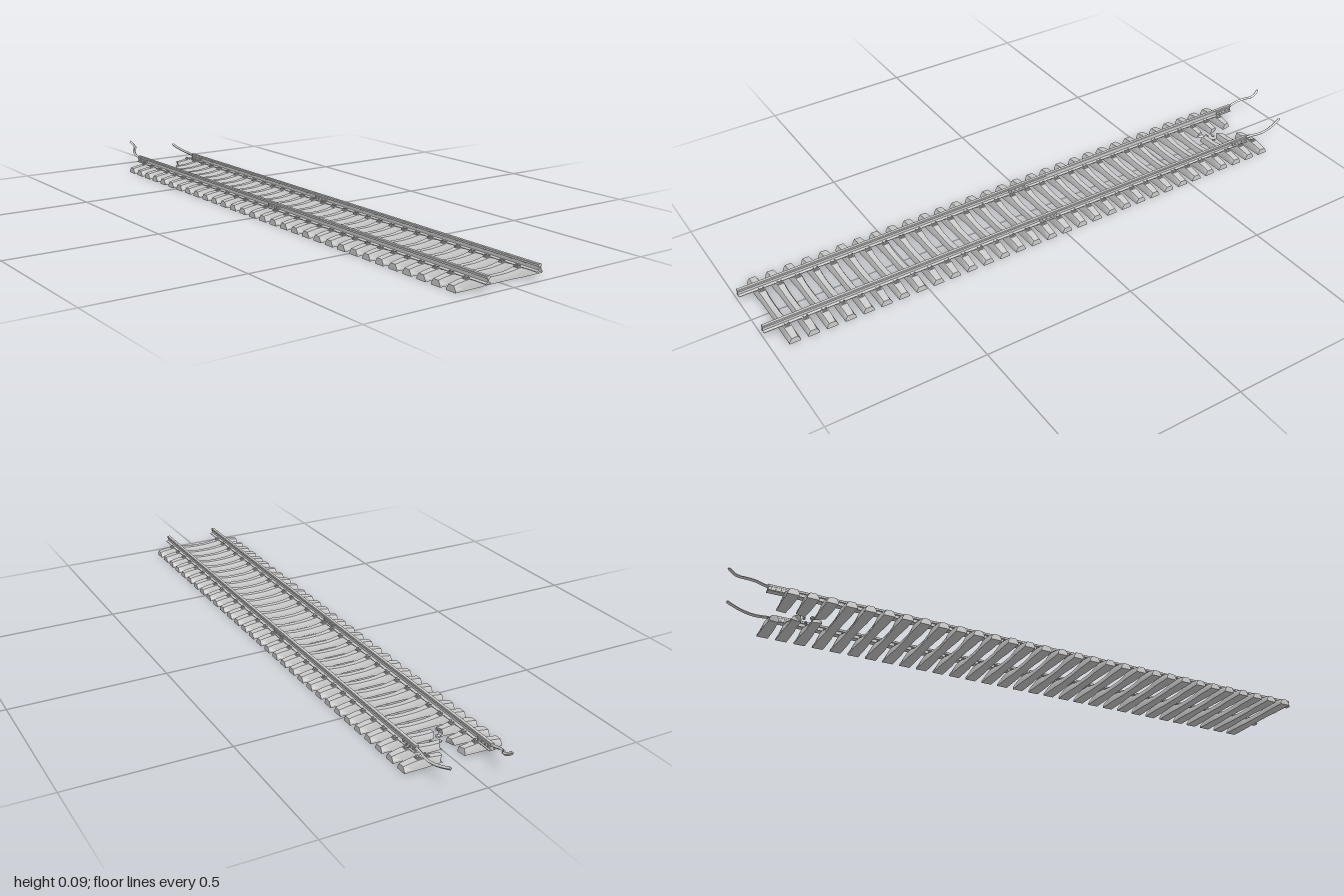
import * as THREE from 'three';
import { toCreasedNormals } from 'three/addons/utils/BufferGeometryUtils.js';

const RAIL_X = 0.093;
const PITCH = 0.0585;
const COUNT = 31;
const FIRST_Z = 0.931;
const material = new THREE.MeshStandardMaterial({ color: 0xcccccc, side: THREE.DoubleSide });

let seed = 7;
const rand = () => (seed = (seed * 16807) % 2147483647) / 2147483647;
const v = (x, y, z) => new THREE.Vector3(x, y, z);

function add(parent, geometry, name, x = 0, y = 0, z = 0) {
  const mesh = new THREE.Mesh(geometry, material);
  mesh.name = name;
  mesh.position.set(x, y, z);
  parent.add(mesh);
  return mesh;
}

// Sleeper stations: distance from centre, top height, half width at base and at top
const STATIONS = [
  [0, 0.018, 0.0145, 0.0085], [0.03, 0.0185, 0.0145, 0.0085], [0.055, 0.0215, 0.015, 0.009],
  [0.078, 0.0255, 0.017, 0.011], [0.108, 0.0265, 0.0175, 0.012],
  [0.132, 0.0235, 0.0175, 0.011], [0.158, 0.0185, 0.0175, 0.010],
];

function stationAt(x) {
  const d = Math.min(Math.abs(x), 0.158);
  let i = 0;
  while (i < STATIONS.length - 2 && d > STATIONS[i + 1][0]) i++;
  const [a, b] = [STATIONS[i], STATIONS[i + 1]];
  const t = (d - a[0]) / (b[0] - a[0]);
  return a.map((n, k) => n + (b[k] - n) * t);
}

// Concrete sleeper lofted along x between two ends, with jagged faces where broken
function sleeperGeometry(from, to) {
  const inner = STATIONS.flatMap(s => (s[0] ? [-s[0], s[0]] : [0])).sort((a, b) => a - b);
  const xs = [from, ...inner.filter(x => x > from + 0.012 && x < to - 0.012), to];
  const pos = [], index = [], n = 6;
  for (const x of xs) {
    const broken = Math.abs(x) < 0.15 && (x === from || x === to);
    const [, h, w, t] = stationAt(x);
    const ring = [[w, 0], [-w, 0], [-w, 0.006], [-t, h], [t, h], [w, 0.006]];
    for (const [z, y] of ring) pos.push(x + (broken ? (rand() - 0.5) * 0.018 : 0), y, z);
  }
  for (let i = 0; i < xs.length - 1; i++) {
    for (let j = 0; j < n; j++) {
      const a = i * n + j, b = i * n + (j + 1) % n;
      index.push(a, b, b + n, a, b + n, a + n);
    }
  }
  const last = (xs.length - 1) * n;
  for (let j = 1; j < n - 1; j++) index.push(0, j + 1, j, last, last + j, last + j + 1);
  const g = new THREE.BufferGeometry();
  g.setAttribute('position', new THREE.Float32BufferAttribute(pos, 3));
  g.setIndex(index);
  return toCreasedNormals(g, 0.5);
}

// Flat-bottomed rail section: foot, web and head
function railGeometry(length) {
  const half = [[0.010, 0.026], [0.010, 0.028], [0.0025, 0.031], [0.0025, 0.040],
    [0.006, 0.0415], [0.006, 0.047], [0.0045, 0.0485]];
  const outline = [...half, ...half.map(([x, y]) => [-x, y]).reverse()];
  const shape = new THREE.Shape(outline.map(([x, y]) => new THREE.Vector2(x, y)));
  return new THREE.ExtrudeGeometry(shape, { depth: length, bevelEnabled: false });
}

// Spring clip and base plate, placed on the outer (+x) side of a rail
const plateGeometry = new THREE.BoxGeometry(0.040, 0.003, 0.017);
const shoulderGeometry = new THREE.BoxGeometry(0.004, 0.006, 0.009);
const clipGeometry = new THREE.TubeGeometry(new THREE.CatmullRomCurve3([
  v(0.008, 0.0295, -0.006), v(0.013, 0.032, -0.007), v(0.018, 0.029, -0.003),
  v(0.018, 0.029, 0.003), v(0.013, 0.032, 0.007), v(0.008, 0.0295, 0.006)]), 10, 0.0014, 5);

function fastening(parent, x, z) {
  const group = new THREE.Group();
  group.name = 'railFastening';
  group.position.set(x, 0, z);
  add(group, plateGeometry, 'basePlate', 0, 0.0265, 0);
  for (const side of [-1, 1]) {
    add(group, shoulderGeometry, 'clipShoulder', side * 0.0145, 0.029, 0);
    add(group, clipGeometry, 'springClip').rotation.y = side > 0 ? 0 : Math.PI;
  }
  parent.add(group);
}

// Bolted plates either side of the web
const jointGeometry = new THREE.BoxGeometry(0.0045, 0.010, 0.062);
const boltGeometry = new THREE.CylinderGeometry(0.0022, 0.0022, 0.019, 6).rotateZ(Math.PI / 2);

function railJoint(parent, x, z) {
  for (const side of [-1, 1]) add(parent, jointGeometry, 'jointPlate', x + side * 0.0045, 0.0355, z);
  for (const dz of [-0.022, -0.008, 0.008, 0.022]) add(parent, boltGeometry, 'jointBolt', x, 0.0355, z + dz);
}

// Torn strip of rail: square section swept along a kinked path
function tornRail(parent, points) {
  const path = new THREE.CatmullRomCurve3(points, false, 'centripetal');
  const g = new THREE.TubeGeometry(path, 28, 0.0052, 4);
  add(parent, toCreasedNormals(g, 0.6), 'tornRail');
  const end = points[points.length - 1];
  add(parent, new THREE.OctahedronGeometry(0.005), 'tornRailTip', end.x, end.y, end.z);
}

export function createModel() {
  const model = new THREE.Group();
  model.name = 'railwayTrack';

  // Sleepers, the last three snapped in the middle
  const whole = sleeperGeometry(-0.158, 0.158);
  const gaps = { 28: [-0.038, -0.018], 29: [-0.038, -0.002], 30: [-0.040, 0.037] };
  for (let i = 0; i < COUNT; i++) {
    const z = FIRST_Z - i * PITCH;
    if (gaps[i]) {
      add(model, sleeperGeometry(-0.158, gaps[i][0]), 'brokenSleeperRight', 0, 0, z);
      add(model, sleeperGeometry(gaps[i][1], 0.158), 'brokenSleeperLeft', 0, 0, z);
    } else {
      add(model, whole, 'sleeper', 0, 0, z);
    }
    for (const side of [-1, 1]) fastening(model, side * RAIL_X, z);
  }

  // Rails with their joints
  for (const [x, back] of [[-RAIL_X, -0.885], [RAIL_X, -0.80]]) {
    add(model, railGeometry(1 - back), 'rail', x, 0, back);
    for (const z of [0.03, back + 0.032]) railJoint(model, x, z);
  }

  // Bent remains beyond the break
  tornRail(model, [v(-0.093, 0.040, -0.86), v(-0.096, 0.041, -0.89), v(-0.094, 0.050, -0.92),
    v(-0.085, 0.057, -0.945), v(-0.070, 0.066, -0.965), v(-0.069, 0.072, -0.98), v(-0.073, 0.082, -0.995)]);
  tornRail(model, [v(0.093, 0.040, -0.78), v(0.097, 0.041, -0.82), v(0.103, 0.041, -0.865),
    v(0.101, 0.045, -0.90), v(0.096, 0.052, -0.93), v(0.091, 0.060, -0.955)]);

  // Concrete rubble in the gap
  for (const [x, z, s] of [[-0.024, -0.725, 0.008], [-0.016, -0.748, 0.006], [0.006, -0.735, 0.005]]) {
    const chunk = add(model, new THREE.DodecahedronGeometry(s), 'rubble', x, s * 0.9, z);
    chunk.scale.set(1.2, 0.8, 0.9);
  }
  return model;
}
